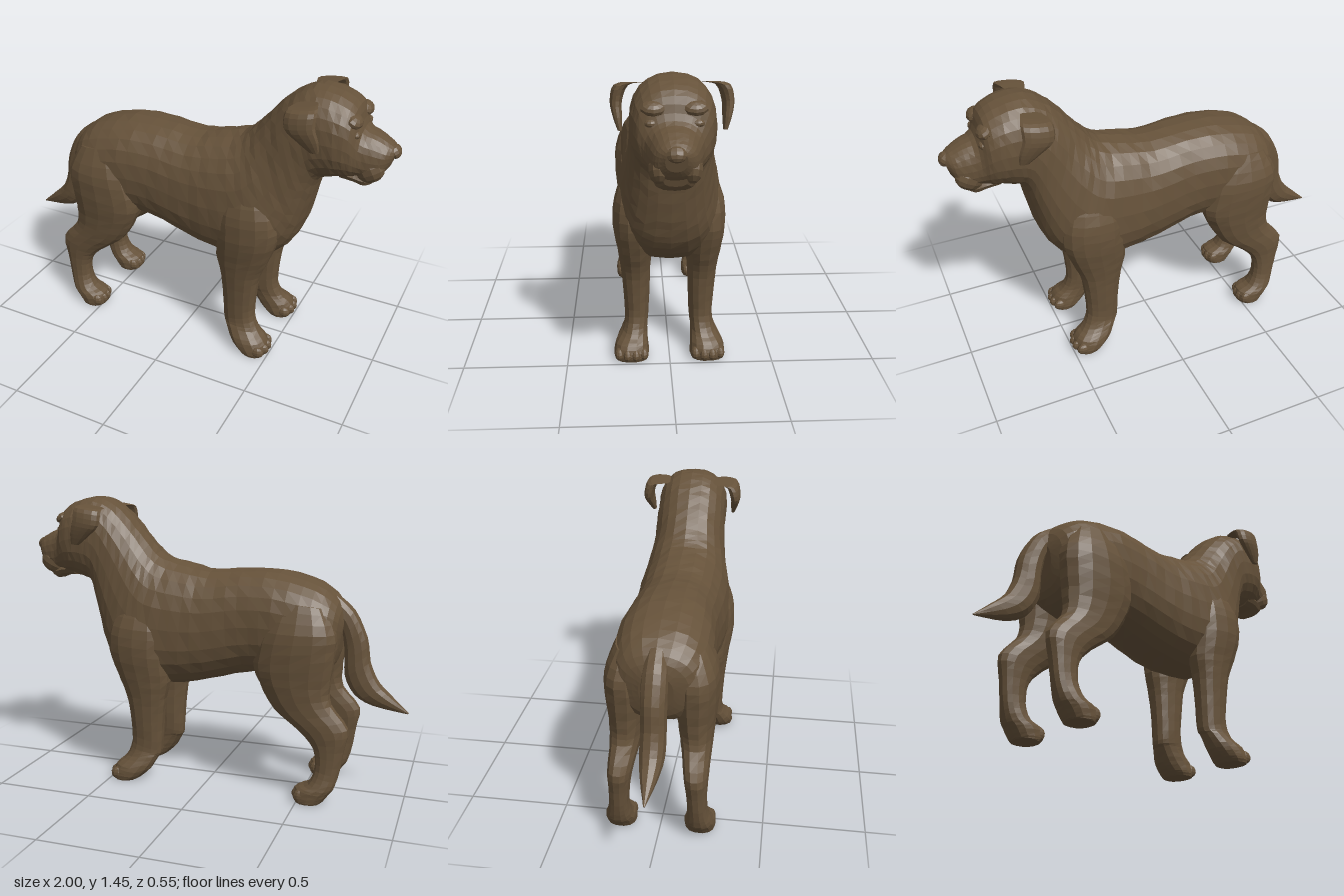
import * as THREE from 'three';

const coat = new THREE.MeshStandardMaterial({ color: 0x66523a, flatShading: true });
coat.name = 'brown coat';

// Lofts a skin over sections [x1, y1, x2, y2, halfWidth, zCentre, pear].
// (x1,y1) and (x2,y2) are the two ends of the section in the side profile;
// pear widens the section towards its second end.
function loft(name, rows, { sides = 18, steps = 3, square = 2.3, fur = 0, side = 1 } = {}) {
  const at = (r, k) => r[k] || 0;
  const cubic = (a, b, c, d, t) => b + 0.5 * t * (c - a + t * (2 * a - 5 * b + 4 * c - d + t * (3 * (b - c) + d - a)));
  const rings = [];
  for (let i = 0; i < rows.length - 1; i++) {
    const p = [rows[Math.max(i - 1, 0)], rows[i], rows[i + 1], rows[Math.min(i + 2, rows.length - 1)]];
    for (let s = 0; s < steps; s++) {
      rings.push([0, 1, 2, 3, 4, 5, 6].map(k => cubic(...p.map(r => at(r, k)), s / steps)));
    }
  }
  rings.push([0, 1, 2, 3, 4, 5, 6].map(k => at(rows[rows.length - 1], k)));

  const pos = [], idx = [];
  const bend = v => Math.sign(v) * Math.abs(v) ** (2 / square);
  rings.forEach(([x1, y1, x2, y2, w, z, pear], i) => {
    for (let j = 0; j < sides; j++) {
      const a = j / sides * Math.PI * 2;
      const ripple = 1 + fur * Math.sin(i * 2.3 + j * 3.1) * Math.cos(i * 1.1 - j * 1.7);
      const v = bend(Math.sin(a)) * ripple / 2;
      const u = bend(Math.cos(a)) * w * ripple * (1 - pear * Math.sin(a));
      pos.push((x1 + x2) / 2 + (x1 - x2) * v, Math.max(0, (y1 + y2) / 2 + (y1 - y2) * v), z * side + u);
    }
  });
  const last = (rings.length - 1) * sides, tip = pos.length / 3;
  for (const r of [rings[0], rings[rings.length - 1]]) {
    pos.push((r[0] + r[2]) / 2, (r[1] + r[3]) / 2, r[5] * side);
  }
  for (let j = 0; j < sides; j++) {
    const k = (j + 1) % sides;
    for (let o = 0; o < last; o += sides) {
      idx.push(o + j, o + sides + j, o + k, o + k, o + sides + j, o + sides + k);
    }
    idx.push(tip, j, k, tip + 1, last + k, last + j);
  }
  const g = new THREE.BufferGeometry();
  g.setAttribute('position', new THREE.Float32BufferAttribute(pos, 3));
  g.setIndex(idx);
  g.computeVertexNormals();
  const mesh = new THREE.Mesh(g, coat);
  mesh.name = name;
  return mesh;
}

function lump(name, x, y, z, rx, ry, rz, tilt = 0) {
  const mesh = new THREE.Mesh(new THREE.SphereGeometry(1, 10, 7), coat);
  mesh.name = name;
  mesh.position.set(x, y, z);
  mesh.scale.set(rx, ry, rz);
  mesh.rotation.z = tilt;
  return mesh;
}

export function createModel() {
  const dog = new THREE.Group();
  dog.name = 'dog';

  // Rump, trunk, neck, skull and muzzle in one skin
  dog.add(loft('body', [
    [-0.68, 0.89, -0.655, 0.72, 0.08, 0, 0],
    [-0.65, 0.98, -0.62, 0.64, 0.18, 0, 0],
    [-0.55, 1.06, -0.50, 0.59, 0.23, 0, 0],
    [-0.36, 1.11, -0.34, 0.60, 0.235, 0, 0],
    [-0.17, 1.112, -0.20, 0.59, 0.225, 0, 0.03],
    [0.00, 1.10, 0.00, 0.535, 0.23, 0, 0.06],
    [0.13, 1.125, 0.20, 0.50, 0.24, 0, 0.1],
    [0.25, 1.155, 0.40, 0.515, 0.245, 0, 0.14],
    [0.31, 1.20, 0.53, 0.62, 0.225, 0, 0.12],
    [0.38, 1.28, 0.585, 0.73, 0.20, 0, 0.08],
    [0.46, 1.37, 0.62, 0.87, 0.188, 0, 0],
    [0.54, 1.43, 0.65, 1.00, 0.183, 0, 0],
    [0.62, 1.455, 0.70, 1.03, 0.185, 0, 0],
    [0.72, 1.44, 0.75, 1.045, 0.18, 0, 0],
    [0.80, 1.395, 0.79, 1.05, 0.16, 0, 0],
    [0.835, 1.30, 0.835, 1.06, 0.125, 0, 0.05],
    [0.90, 1.27, 0.89, 1.06, 0.105, 0, 0.1],
    [0.955, 1.24, 0.93, 1.085, 0.085, 0, 0.1],
    [0.985, 1.215, 0.96, 1.125, 0.045, 0, 0],
  ], { sides: 24, square: 2.4, fur: 0.012 }));

  // Lower jaw and nose
  dog.add(loft('lowerJaw', [
    [0.74, 1.12, 0.76, 1.04, 0.10],
    [0.82, 1.11, 0.82, 1.035, 0.10],
    [0.88, 1.10, 0.87, 1.018, 0.085],
    [0.93, 1.10, 0.915, 1.05, 0.05],
  ], { sides: 12 }));
  dog.add(lump('nose', 0.972, 1.2, 0, 0.029, 0.034, 0.042, 0.5));

  // Tail hanging down and sweeping back to a point
  dog.add(loft('tail', [
    [-0.58, 0.90, -0.63, 1.01, 0.05],
    [-0.655, 0.83, -0.72, 0.93, 0.06],
    [-0.675, 0.72, -0.785, 0.80, 0.06],
    [-0.68, 0.60, -0.805, 0.68, 0.06],
    [-0.73, 0.51, -0.85, 0.58, 0.058],
    [-0.82, 0.46, -0.92, 0.51, 0.04],
    [-0.995, 0.43, -1.0, 0.435, 0.004],
  ], { sides: 12, fur: 0.015 }));

  for (const side of [1, -1]) {
    const tag = side > 0 ? 'Left' : 'Right';

    // Front leg from shoulder to paw
    dog.add(loft('frontLeg' + tag, [
      [0.43, 0.96, 0.24, 0.93, 0.06, 0.15],
      [0.50, 0.82, 0.19, 0.80, 0.098, 0.163],
      [0.51, 0.69, 0.19, 0.66, 0.098, 0.17],
      [0.47, 0.56, 0.19, 0.53, 0.085, 0.165],
      [0.425, 0.45, 0.21, 0.44, 0.073, 0.163],
      [0.405, 0.32, 0.225, 0.32, 0.065, 0.16],
      [0.40, 0.20, 0.235, 0.16, 0.058, 0.16],
      [0.43, 0.12, 0.25, 0.13, 0.062, 0.17],
      [0.475, 0.08, 0.29, 0.06, 0.08, 0.185],
      [0.495, 0.03, 0.33, 0.02, 0.086, 0.187],
      [0.485, 0, 0.36, 0, 0.08, 0.187],
    ], { sides: 14, fur: 0.015, side }));

    // Hind leg from haunch through hock to paw
    dog.add(loft('hindLeg' + tag, [
      [-0.37, 0.99, -0.60, 0.96, 0.07, 0.14],
      [-0.30, 0.84, -0.66, 0.84, 0.10, 0.163],
      [-0.26, 0.68, -0.66, 0.72, 0.103, 0.163],
      [-0.29, 0.58, -0.64, 0.58, 0.09, 0.165],
      [-0.37, 0.45, -0.65, 0.49, 0.075, 0.17],
      [-0.50, 0.35, -0.735, 0.38, 0.06, 0.18],
      [-0.57, 0.27, -0.72, 0.27, 0.05, 0.185],
      [-0.58, 0.17, -0.70, 0.15, 0.05, 0.19],
      [-0.55, 0.10, -0.68, 0.08, 0.065, 0.195],
      [-0.49, 0.07, -0.66, 0.05, 0.075, 0.195],
      [-0.48, 0.02, -0.63, 0.01, 0.075, 0.195],
      [-0.49, 0, -0.62, 0, 0.07, 0.195],
    ], { sides: 14, fur: 0.015, side }));

    // Toes
    for (let i = 0; i < 4; i++) {
      const spread = (i - 1.5) * 0.04, back = Math.abs(i - 1.5) * 0.014;
      dog.add(lump('frontToe' + tag, 0.477 - back, 0.033, (0.187 + spread) * side, 0.036, 0.032, 0.023));
      dog.add(lump('hindToe' + tag, -0.50 - back, 0.036, (0.195 + spread * 0.85) * side, 0.034, 0.035, 0.021));
    }

    // Folded ear flap
    dog.add(loft('ear' + tag, [
      [0.65, 1.42, 0.54, 1.40, 0.035, 0.15],
      [0.67, 1.41, 0.525, 1.39, 0.032, 0.215],
      [0.672, 1.345, 0.53, 1.32, 0.026, 0.238],
      [0.69, 1.28, 0.585, 1.27, 0.02, 0.232],
      [0.692, 1.225, 0.65, 1.22, 0.01, 0.222],
    ], { sides: 12, side }));

    // Brow, closed eye and hanging lip
    dog.add(lump('brow' + tag, 0.80, 1.345, 0.085 * side, 0.04, 0.028, 0.055, -0.5));
    dog.add(lump('eye' + tag, 0.815, 1.285, 0.095 * side, 0.02, 0.018, 0.028));
    dog.add(lump('lip' + tag, 0.885, 1.115, 0.066 * side, 0.07, 0.06, 0.045, 0.5));
  }
  return dog;
}
